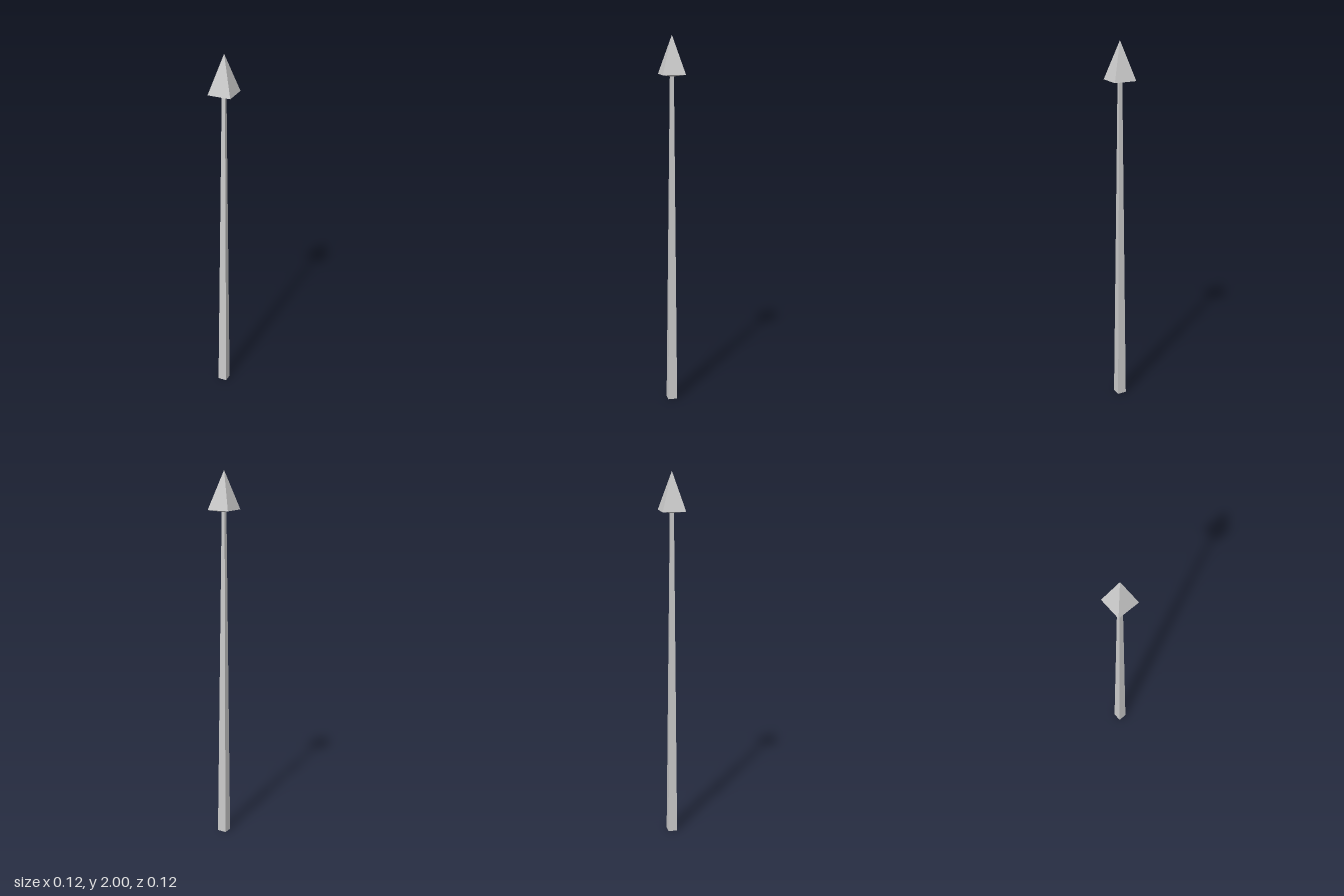
import * as THREE from 'three';

const material = new THREE.MeshStandardMaterial({ color: 0xcccccc, flatShading: true });

// Square tapered bar between two heights, given half-widths at top and bottom
function squareTaper(name, topHalf, bottomHalf, y0, y1, openEnded = false) {
  const geometry = new THREE.CylinderGeometry(
    topHalf * Math.SQRT2, bottomHalf * Math.SQRT2, y1 - y0, 4, 1, openEnded);
  geometry.rotateY(Math.PI / 4);
  geometry.translate(0, (y0 + y1) / 2, 0);
  const mesh = new THREE.Mesh(geometry, material);
  mesh.name = name;
  return mesh;
}

export function createModel() {
  const group = new THREE.Group();
  group.name = 'spear';

  // Shaft narrowing towards the head
  group.add(squareTaper('shaft', 0.009, 0.025, 0, 1.795));

  // Pyramid point with a shallow sloped underside
  const head = new THREE.Group();
  head.name = 'spearhead';
  head.add(squareTaper('point', 0, 0.061, 1.8, 2, true));
  head.add(squareTaper('headUnderside', 0.061, 0.009, 1.79, 1.8, true));
  group.add(head);

  return group;
}
